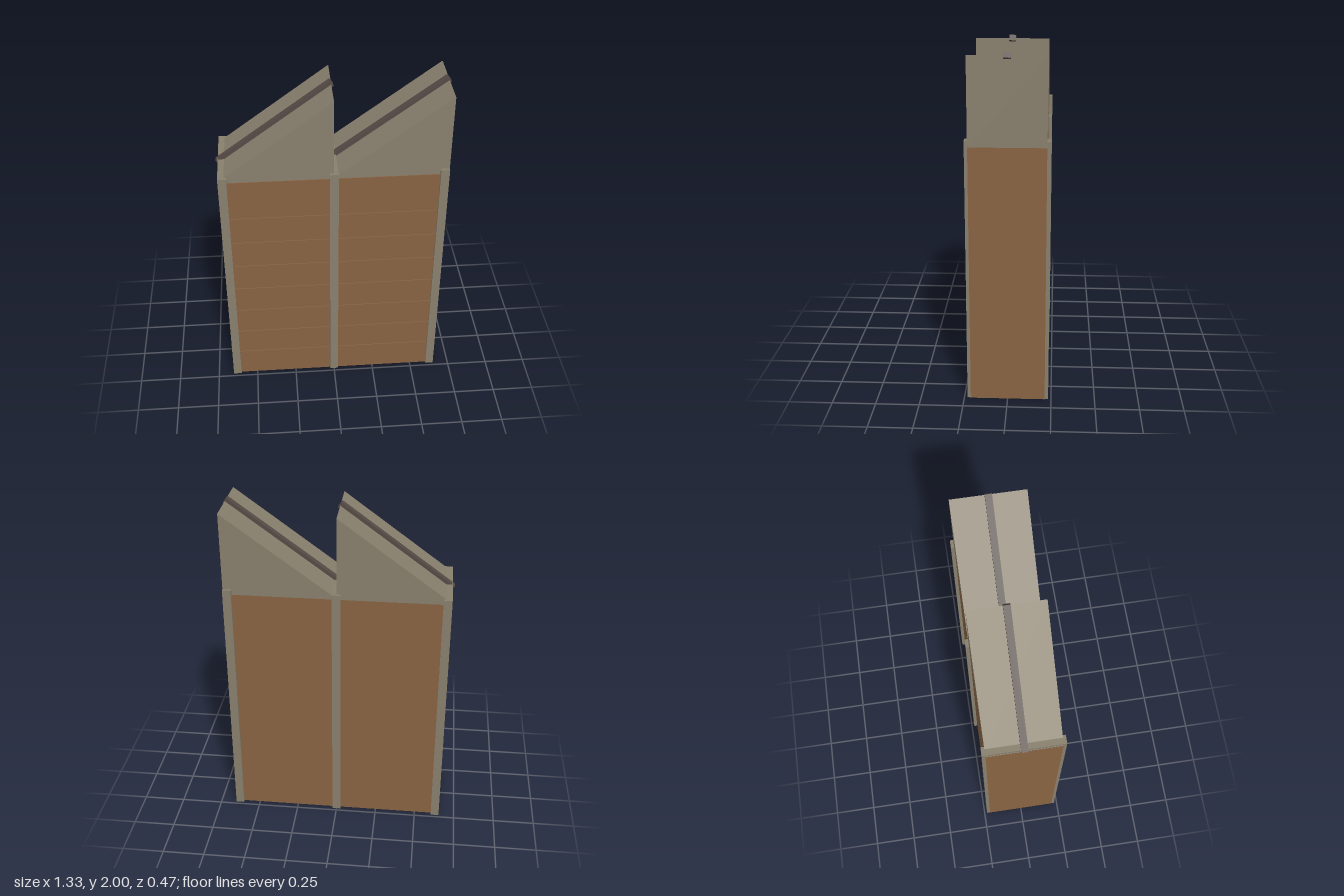
import * as THREE from 'three';

export function createModel() {
  const model = new THREE.Group();
  model.name = 'sawtoothBuilding';

  const material = (name, color) => {
    const m = new THREE.MeshStandardMaterial({ color });
    m.name = name;
    return m;
  };
  const brown = material('brown cladding', 0x886342);
  const stone = material('grey stone', 0x887f6c);
  const dark = material('dark trim', 0x554b46);

  const add = (name, geometry, mat, x, y, z) => {
    const mesh = new THREE.Mesh(geometry, mat);
    mesh.name = name;
    mesh.position.set(x, y, z);
    model.add(mesh);
    return mesh;
  };
  const box = (name, mat, w, h, d, x, y, z) =>
    add(name, new THREE.BoxGeometry(w, h, d), mat, x, y, z);

  // Main block
  const wallTop = 1.49, half = 0.655, depth = 0.426;
  box('mainWalls', brown, half * 2, wallTop, depth, 0, wallTop / 2, 0);

  // Front boards, separated by narrow horizontal grooves
  const pitch = 0.176, first = 0.187, gap = 0.007;
  for (let i = 0; i < 8; i++) {
    const bottom = i === 0 ? 0 : first + (i - 1) * pitch + gap / 2;
    const top = i === 7 ? wallTop : first + i * pitch - gap / 2;
    box('frontBoard', brown, 1.3, top - bottom, 0.005, 0, (top + bottom) / 2, depth / 2 + 0.0025);
  }

  // Posts run through the block and stand proud of front and back
  const postTop = 1.525, postBase = 0.001;
  for (const x of [-0.629, 0, 0.628]) {
    box('post', stone, 0.05, postTop - postBase, 0.465, x, (postTop + postBase) / 2, -0.001);
  }

  // Two sawtooth roofs with a raised rail along each slope
  const tooth = new THREE.Shape([
    new THREE.Vector2(-0.655, wallTop),
    new THREE.Vector2(-0.002, wallTop),
    new THREE.Vector2(-0.002, 1.98),
    new THREE.Vector2(-0.655, 1.498),
  ]);
  const toothGeometry = new THREE.ExtrudeGeometry(tooth, { depth: 0.428, bevelEnabled: false });
  toothGeometry.translate(0, 0, -0.214);
  for (const x of [0, 0.656]) {
    add('sawtoothRoof', toothGeometry, stone, x, 0, 0);
    const rail = box('roofRail', dark, 0.815, 0.036, 0.04, x - 0.328, 1.742, 0);
    rail.rotation.z = Math.atan2(0.482, 0.653);
  }

  return model;
}
